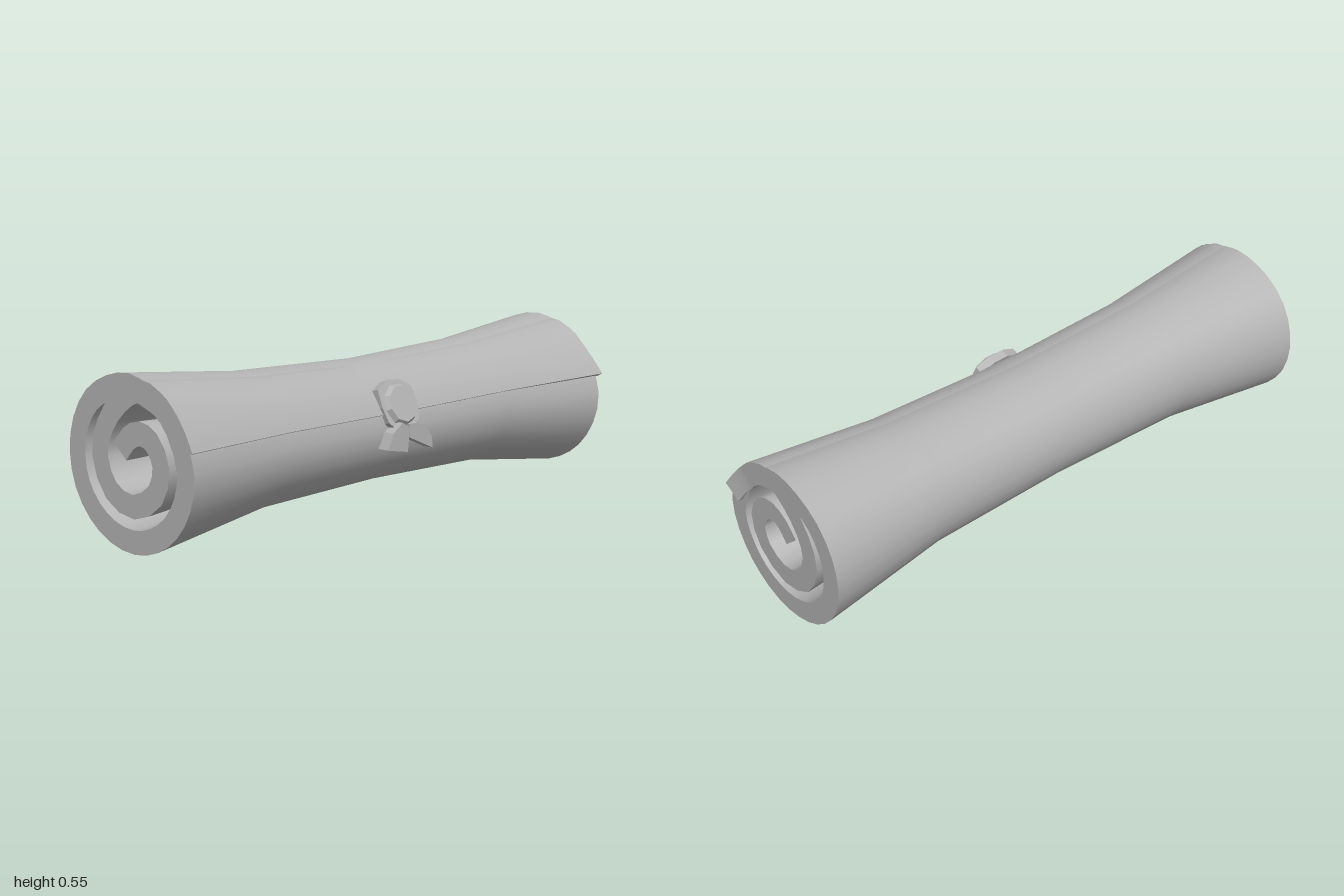
import * as THREE from 'three';
import { toCreasedNormals } from 'three/addons/utils/BufferGeometryUtils.js';

const CY = 0.281; // height of the roll axis
const THICK = 0.075;

// Midline of the rolled sheet, from the inner end clockwise to the outer flap
const MIDLINE = [
  [-0.045, 0.312], [-0.005, 0.356], [0.045, 0.376], [0.1, 0.356], [0.138, 0.285],
  [0.11, 0.198], [0.01, 0.148], [-0.09, 0.183], [-0.14, 0.285], [-0.115, 0.38],
  [-0.04, 0.465], [0.04, 0.505], [0.13, 0.475], [0.2, 0.405], [0.247, 0.28],
  [0.228, 0.185], [0.175, 0.108], [0.1, 0.059], [0.01, 0.039], [-0.09, 0.057],
  [-0.17, 0.107], [-0.228, 0.185], [-0.249, 0.28], [-0.23, 0.375], [-0.175, 0.453],
  [-0.09, 0.5], [0, 0.515], [0.075, 0.494], [0.15, 0.462], [0.215, 0.385], [0.243, 0.33],
];

// Cross-sections along the roll: z, x scale, y scale, axis height
const SECTIONS = [
  [0.99, 1, 1, CY], [0.53, 0.815, 0.8, 0.288], [0, 0.77, 0.745, 0.285],
  [-0.53, 0.815, 0.8, 0.288], [-0.985, 1, 1, CY],
];

function rolledSheet() {
  const curve = new THREE.CatmullRomCurve3(MIDLINE.map(([x, y]) => new THREE.Vector3(x, y, 0)));
  const n = (MIDLINE.length - 1) * 2;
  const profile = [];
  for (let i = 0; i <= n; i++) {
    const p = curve.getPoint(i / n), t = curve.getTangent(i / n);
    profile.push({ p, nx: -t.y, ny: t.x });
  }
  // side is +1 for the outer skin and -1 for the inner skin
  const point = (i, side, s) => {
    const { p, nx, ny } = profile[i];
    const [z, sx, sy, cy] = SECTIONS[s];
    const flap = s === SECTIONS.length - 1 ? Math.max(0, (i - n + 3) / 3) : 0; // loose back corner
    const off = side * THICK / 2 + flap * 0.012;
    return [(p.x + nx * off) * sx, cy + (p.y + ny * off - CY) * sy, z - flap * 0.015];
  };
  const pos = [];
  const quad = (a, b, c, d) => pos.push(...a, ...b, ...c, ...a, ...c, ...d);
  const last = SECTIONS.length - 1;
  for (let i = 0; i < n; i++) {
    for (let s = 0; s < last; s++) {
      quad(point(i, 1, s), point(i + 1, 1, s), point(i + 1, 1, s + 1), point(i, 1, s + 1));
      quad(point(i, -1, s + 1), point(i + 1, -1, s + 1), point(i + 1, -1, s), point(i, -1, s));
    }
    quad(point(i, -1, 0), point(i + 1, -1, 0), point(i + 1, 1, 0), point(i, 1, 0));
    quad(point(i, 1, last), point(i + 1, 1, last), point(i + 1, -1, last), point(i, -1, last));
  }
  for (let s = 0; s < last; s++) {
    quad(point(0, -1, s), point(0, 1, s), point(0, 1, s + 1), point(0, -1, s + 1));
    quad(point(n, -1, s + 1), point(n, 1, s + 1), point(n, 1, s), point(n, -1, s));
  }
  const g = new THREE.BufferGeometry();
  g.setAttribute('position', new THREE.Float32BufferAttribute(pos, 3));
  return toCreasedNormals(g, 0.8);
}

// Flat plate cut from an outline
function plate(points, depth) {
  const shape = new THREE.Shape(points.map(([x, y]) => new THREE.Vector2(x, y)));
  return new THREE.ExtrudeGeometry(shape, { depth, bevelEnabled: false });
}

export function createModel() {
  const model = new THREE.Group();
  const grey = new THREE.MeshStandardMaterial({ color: 0xb4b4b4 });
  grey.name = 'grey';
  const add = (parent, name, geometry) => {
    const mesh = new THREE.Mesh(geometry, grey);
    mesh.name = name;
    parent.add(mesh);
    return mesh;
  };

  add(model, 'rolledSheet', rolledSheet());

  // Thin strap curving over the top of the roll to the seal
  const strap = new THREE.CylinderGeometry(0.212, 0.212, 0.17, 12, 1, true, Math.PI * 0.1, Math.PI * 0.32);
  strap.rotateX(-Math.PI / 2).rotateZ(-Math.PI / 2);
  strap.rotateZ(Math.PI * 0.52);
  const strapMesh = add(model, 'strap', strap);
  strapMesh.position.set(0, 0.281, 0.015);

  // Seal: an uneven wax disc with a raised middle, tilted to sit on the roll
  const seal = new THREE.Group();
  seal.name = 'seal';
  seal.position.set(0.188, 0.35, 0.025);
  seal.rotation.set(-0.36, Math.PI / 2, 0, 'YXZ');
  model.add(seal);
  const radii = [0.085, 0.094, 0.088, 0.092, 0.105, 0.085, 0.09, 0.1, 0.086, 0.092];
  const rim = radii.map((r, i) => {
    const a = (i / radii.length) * Math.PI * 2;
    return [Math.cos(a) * r, Math.sin(a) * r];
  });
  add(seal, 'sealDisc', plate(rim, 0.03));
  const boss = new THREE.CylinderGeometry(0.062, 0.075, 0.02, 9).rotateX(Math.PI / 2);
  add(seal, 'sealBoss', toCreasedNormals(boss, 0.4)).position.z = 0.036;

  // Two ribbon tails hanging below the seal
  const tails = new THREE.Group();
  tails.name = 'ribbonTails';
  tails.position.set(0.215, 0, 0);
  tails.rotation.y = Math.PI / 2;
  model.add(tails);
  add(tails, 'backTail', plate([[-0.02, 0.255], [0.095, 0.205], [0.09, 0.245], [0.07, 0.27], [0.02, 0.3], [-0.02, 0.3]], 0.04));
  add(tails, 'frontTail', plate([[-0.13, 0.228], [-0.035, 0.21], [-0.025, 0.29], [-0.06, 0.31], [-0.105, 0.28]], 0.045));
  return model;
}
